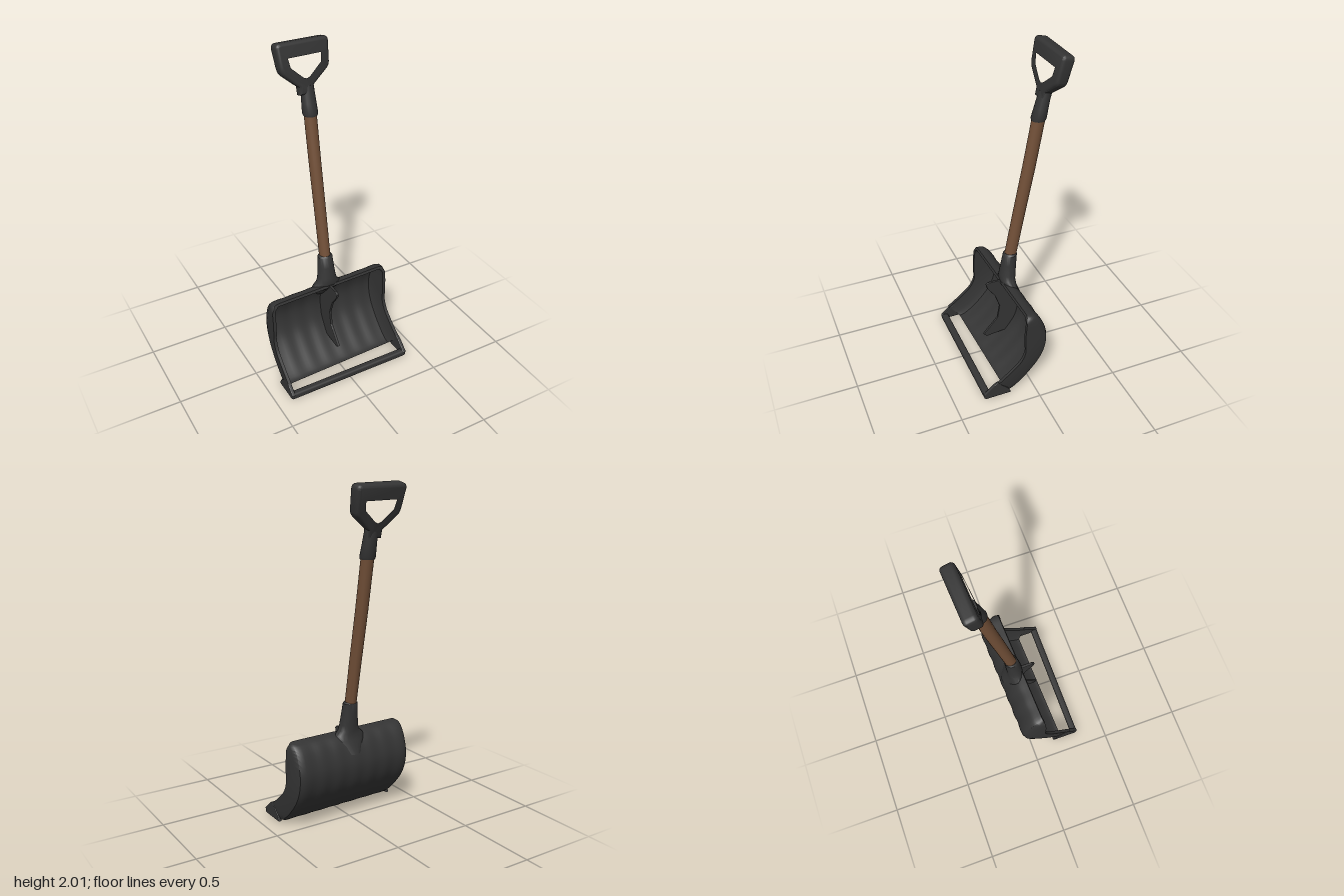
import * as THREE from 'three';
import { toCreasedNormals } from 'three/addons/utils/BufferGeometryUtils.js';
import { RoundedBoxGeometry } from 'three/addons/geometries/RoundedBoxGeometry.js';

// Skin closed rings (listed top to bottom) and cap both ends
function loft(rings, crease = 0.7) {
  const n = rings[0].length, last = (rings.length - 1) * n, index = [];
  for (let i = 0; i < rings.length - 1; i++) {
    for (let j = 0; j < n; j++) {
      const a = i * n + j, b = i * n + (j + 1) % n;
      index.push(a, b, a + n, b, b + n, a + n);
    }
  }
  for (let j = 0; j < n / 2 - 1; j++) {
    const a = j, b = j + 1, c = n - 2 - j, d = n - 1 - j;
    index.push(a, d, b, b, d, c);
    index.push(last + a, last + b, last + d, last + b, last + c, last + d);
  }
  const geo = new THREE.BufferGeometry();
  geo.setAttribute('position', new THREE.Float32BufferAttribute(rings.flat(2), 3));
  geo.setIndex(index);
  return toCreasedNormals(geo, crease);
}

// Elliptical ring from [y, z, radiusX, radiusZ]
function ellipse([y, z, rx, rz], sides = 20) {
  return Array.from({ length: sides }, (_, k) => {
    const a = Math.PI + (k / sides) * Math.PI * 2;
    return [rx * Math.cos(a), y, z + rz * Math.sin(a)];
  });
}

// Plate drawn in the (z, y) plane and given a thickness along x
function sidePlate(points, thickness, bevel) {
  const shape = new THREE.Shape(points.map(([z, y]) => new THREE.Vector2(z, y)));
  const depth = thickness - 2 * bevel;
  const geo = new THREE.ExtrudeGeometry(shape, {
    depth, bevelThickness: bevel, bevelSize: bevel, bevelOffset: -bevel, bevelSegments: 2,
  });
  return geo.translate(0, 0, -depth / 2).rotateY(-Math.PI / 2);
}

const curve = (pts) => new THREE.CatmullRomCurve3(pts.map(([z, y]) => new THREE.Vector3(0, y, z)));

// Scoop: curled sheet whose sides turn forward into walls
function scoopGeometry() {
  const back = curve([[.05, .543], [0, .53], [-.045, .48], [-.08, .38], [-.078, .3],
    [-.05, .215], [.01, .13], [.09, .05], [.155, .008], [.18, .005]]);
  const front = curve([[.06, .518], [.062, .49], [.068, .43], [.07, .34], [.068, .29],
    [.095, .225], [.15, .17], [.2, .13], [.24, .1], [.255, .09]]);
  const rows = 30, cols = 36, rings = [];
  for (let i = 0; i <= rows; i++) {
    const u = i / rows, p = back.getPoint(u), f = front.getPoint(u);
    const span = p.distanceTo(f);
    const narrow = 1 - 0.035 * Math.max(0, 1 - u * 8) ** 2 - 0.012 * (1 - u);
    const at = (x, dist) => {
      const q = p.clone().lerp(f, dist / span);
      return [x * narrow, q.y, q.z - 0.035 * x];
    };
    const flute = (x) => 0.005 * Math.sin(Math.PI * u) * (1 - Math.cos(x * 55)) / 2;
    const edge = [[.39, .08], [.403, .35], [.408, 1]];
    const inner = [[.364, .12], [.379, .4], [.388, 1]];
    const half = (set, skin) => {
      const wall = set.map(([x, t]) => [x, Math.max(skin, t * span)]);
      const line = wall.map(([x, d]) => at(-x, d)).reverse();
      const w = skin ? .35 : .37;
      for (let k = 0; k <= cols; k++) {
        const x = w * (2 * k / cols - 1);
        line.push(at(x, skin + flute(x)));
      }
      return line.concat(wall.map(([x, d]) => at(x, d)));
    };
    rings.push([...half(edge, 0), ...half(inner, .018).reverse()]);
  }
  return loft(rings, 0.8);
}

// D-shaped grip outline with its finger opening
function gripGeometry() {
  const outline = new THREE.Shape();
  outline.moveTo(-.042, 0);
  outline.lineTo(-.042, .045);
  outline.lineTo(-.135, .125);
  outline.quadraticCurveTo(-.148, .14, -.151, .17);
  outline.lineTo(-.162, .27);
  outline.quadraticCurveTo(-.162, .295, -.138, .295);
  outline.lineTo(.138, .29);
  outline.quadraticCurveTo(.16, .29, .16, .265);
  outline.lineTo(.153, .15);
  outline.quadraticCurveTo(.15, .13, .135, .118);
  outline.lineTo(.042, .045);
  outline.lineTo(.042, 0);
  const hole = new THREE.Path();
  [[-.122, .228], [.122, .226], [.112, .15], [.03, .08], [0, .068], [-.03, .08], [-.108, .15]]
    .forEach(([x, y], k) => (k ? hole.lineTo(x, y) : hole.moveTo(x, y)));
  outline.holes.push(hole);
  const geo = new THREE.ExtrudeGeometry(outline, {
    depth: .036, bevelThickness: .02, bevelSize: .02, bevelOffset: -.016, bevelSegments: 4, curveSegments: 6,
  });
  geo.translate(0, 0, -.018);
  // Thinner towards the neck
  const pos = geo.attributes.position;
  for (let i = 0; i < pos.count; i++) {
    pos.setZ(i, pos.getZ(i) * (.8 + .25 * Math.min(1, Math.max(0, pos.getY(i) / .25))));
  }
  return toCreasedNormals(geo, 0.7);
}

export function createModel() {
  const group = new THREE.Group();
  const plastic = new THREE.MeshStandardMaterial({ color: 0x343434 });
  plastic.name = 'black plastic';
  const wood = new THREE.MeshStandardMaterial({ color: 0x714f37 });
  wood.name = 'brown wood';
  const add = (name, geo, mat = plastic) => {
    const mesh = new THREE.Mesh(geo, mat);
    mesh.name = name;
    group.add(mesh);
    return mesh;
  };

  add('scoop', scoopGeometry());

  // Open front frame: two side rails and a cross bar
  const rail = [[.15, .004], [.31, .004], [.322, .035], [.255, .092], [.23, .105], [.165, .04]];
  for (const side of [-1, 1]) {
    add(side > 0 ? 'leftRail' : 'rightRail', sidePlate(rail, .024, .006)).position.x = side * .397;
  }
  add('frontBar', new RoundedBoxGeometry(.82, .042, .042, 3, .014)).position.set(0, .021, .3);

  // Central fin inside the scoop, with a nose at the top
  add('centreFin', sidePlate([[.13, .543], [.147, .53], [.14, .5], [.09, .43], [.06, .34], [.075, .25],
    [.17, .14], [.15, .12], [.02, .135], [-.05, .24], [-.07, .36], [-.035, .48], [0, .54]], .016, .004));

  // Socket joining scoop and shaft
  add('lowerSocket', loft([[.735, -.013, .034, .034], [.725, -.012, .045, .042], [.66, -.003, .05, .046],
    [.59, .006, .058, .05], [.555, .01, .068, .05], [.53, .006, .095, .045], [.5, -.005, .1, .04],
    [.42, -.055, .04, .022]].map((r) => ellipse(r))));

  add('shaft', loft([[1.62, -.186, .037, .039], [1.3, -.128, .036, .039], [1, -.068, .035, .038],
    [.71, -.012, .034, .037]].map((r) => ellipse(r)), 1), wood);

  add('upperSocket', loft([[1.76, -.217, .038, .032], [1.73, -.212, .04, .036], [1.66, -.196, .043, .04],
    [1.6, -.182, .046, .044], [1.588, -.18, .042, .041]].map((r) => ellipse(r))));

  const grip = add('grip', gripGeometry());
  grip.position.set(-.012, 1.71, -.207);
  grip.rotation.set(-.23, .06, 0);

  return group;
}
